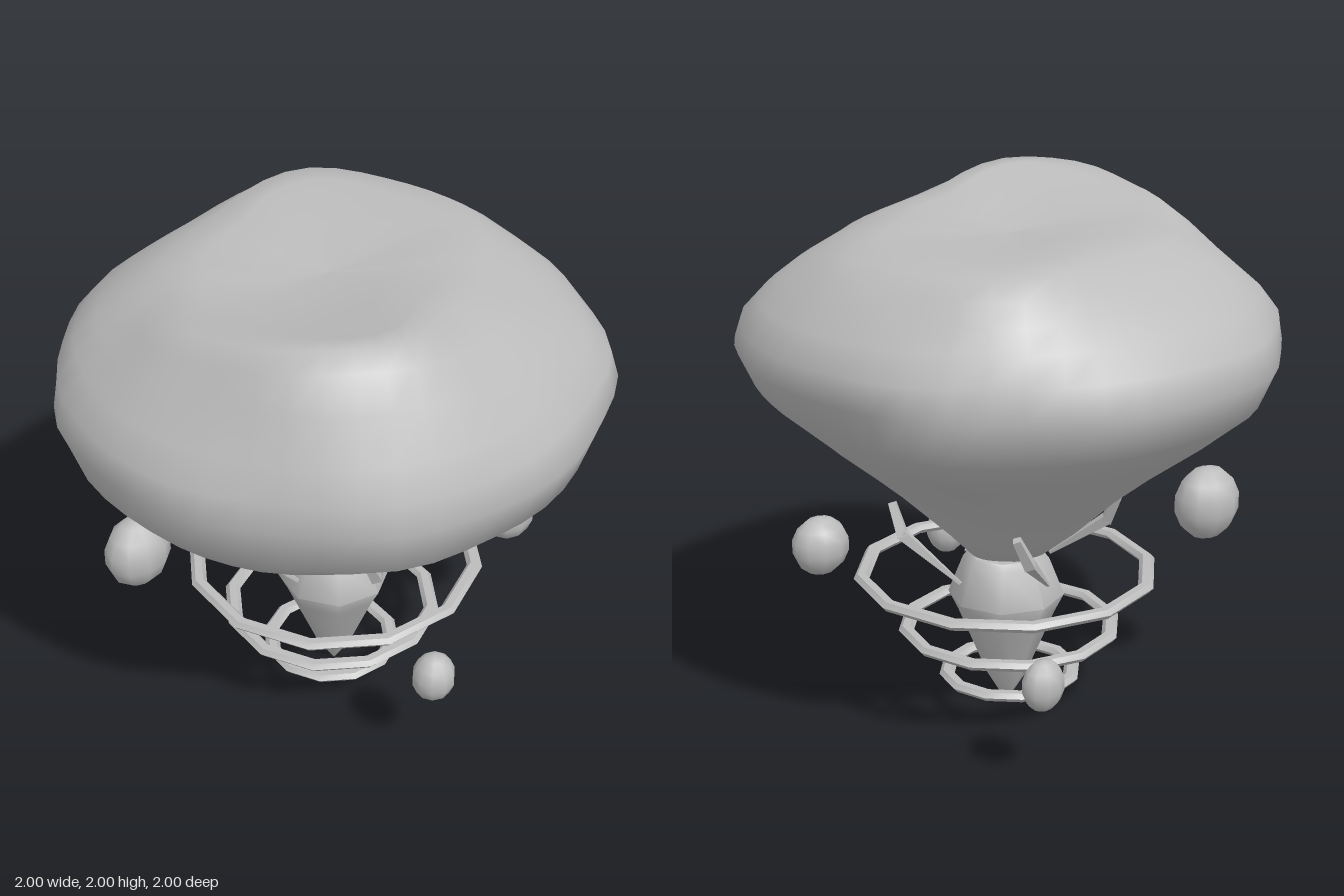
import * as THREE from 'three';
import { toCreasedNormals } from 'three/addons/utils/BufferGeometryUtils.js';

const stone = new THREE.MeshStandardMaterial({ color: 0xbcbcbc });
stone.name = 'grey stone';

// Common axis of the spike, rings and claws
const AXIS_X = 0.05, AXIS_Z = -0.02;

function add(parent, name, geometry, x = 0, y = 0, z = 0) {
  const mesh = new THREE.Mesh(geometry, stone);
  mesh.name = name;
  mesh.position.set(x, y, z);
  parent.add(mesh);
  return mesh;
}

// Floating island lofted from rings: height, then the radius in eight
// directions, starting at +x and turning towards +z
function islandGeometry() {
  const rings = [
    [0.61, 0, 0, 0, 0, 0, 0, 0, 0],
    [0.62, 0.17, 0.15, 0.15, 0.14, 0.13, 0.13, 0.13, 0.15],
    [0.72, 0.26, 0.26, 0.25, 0.26, 0.28, 0.26, 0.25, 0.26],
    [0.9, 0.45, 0.45, 0.45, 0.46, 0.47, 0.45, 0.45, 0.46],
    [1.02, 0.59, 0.58, 0.58, 0.6, 0.61, 0.6, 0.6, 0.62],
    [1.13, 0.72, 0.74, 0.75, 0.78, 0.82, 0.77, 0.73, 0.77],
    [1.28, 0.88, 0.95, 0.95, 0.95, 0.95, 0.93, 0.92, 0.98],
    [1.44, 0.99, 1.02, 1, 0.98, 1, 1, 1, 1.02],
    [1.55, 1, 0.99, 0.96, 0.97, 0.98, 0.98, 0.95, 0.99],
    [1.65, 0.93, 0.91, 0.89, 0.93, 0.91, 0.91, 0.87, 0.94],
    [1.75, 0.86, 0.82, 0.79, 0.86, 0.81, 0.82, 0.78, 0.88],
    [1.83, 0.79, 0.7, 0.68, 0.8, 0.74, 0.71, 0.69, 0.83],
    [1.89, 0.7, 0.55, 0.53, 0.74, 0.67, 0.58, 0.57, 0.76],
    [1.905, 0.55, 0.4, 0.4, 0.65, 0.53, 0.44, 0.43, 0.63],
    [1.87, 0.27, 0.22, 0.22, 0.35, 0.27, 0.22, 0.22, 0.32],
    [1.85, 0, 0, 0, 0, 0, 0, 0, 0],
  ];
  const S = 48, pos = [], index = [];
  rings.forEach(([y, ...radii], i) => {
    const tilt = THREE.MathUtils.smoothstep(y, 1.6, 1.89);
    for (let j = 0; j < S; j++) {
      const t = (j / S) * Math.PI * 2, k = Math.floor((j * 8) / S);
      const blend = THREE.MathUtils.smoothstep((j * 8) / S - k, 0, 1);
      const bump = 1 + Math.abs(Math.sin(2 * t)) *
        (0.012 * Math.sin(5 * t + i * 0.5) + 0.01 * Math.sin(9 * t - i * 0.9));
      const r = THREE.MathUtils.lerp(radii[k], radii[(k + 1) % 8], blend) * bump;
      const x = Math.cos(t) * r, z = Math.sin(t) * r;
      // The top climbs towards one corner, sinks at the opposite one
      // and rolls off to both sides of that diagonal
      const q = z - x, p = z + x;
      pos.push(x, y + tilt * ((q > 0 ? 0.1 * q * q : 0.03 * q) - 0.04 * p * p), z);
    }
  });
  for (let i = 0; i < rings.length - 1; i++) {
    for (let j = 0; j < S; j++) {
      const a = i * S + j, b = i * S + ((j + 1) % S);
      index.push(a, a + S, b, b, a + S, b + S);
    }
  }
  const g = new THREE.BufferGeometry();
  g.setAttribute('position', new THREE.Float32BufferAttribute(pos, 3));
  g.setIndex(index);
  g.computeVertexNormals();
  return g;
}

// Four-sided tapered bar between two points
function addBar(parent, name, from, to, r0, r1) {
  const a = new THREE.Vector3(...from), b = new THREE.Vector3(...to);
  const dir = b.clone().sub(a);
  const bar = add(parent, name, toCreasedNormals(new THREE.CylinderGeometry(r1, r0, dir.length(), 4), 0.6));
  bar.position.copy(a).add(b).multiplyScalar(0.5);
  bar.quaternion.setFromUnitVectors(new THREE.Vector3(0, 1, 0), dir.normalize());
}

export function createModel() {
  const model = new THREE.Group();
  model.name = 'floatingIsland';

  add(model, 'island', islandGeometry());

  // Eight-sided hanging spike
  const profile = [[0, 0], [0.075, 0.12], [0.185, 0.385], [0.222, 0.46], [0.165, 0.605], [0.145, 0.63], [0, 0.63]]
    .map(([r, y]) => new THREE.Vector2(r, y));
  add(model, 'spike', toCreasedNormals(new THREE.LatheGeometry(profile, 8), 0.8), AXIS_X, 0, AXIS_Z);

  // Three floating rings, wider than they are thick
  for (const [radius, x, y] of [[0.552, 0.05, 0.557], [0.4, 0.033, 0.328], [0.246, 0.032, 0.131]]) {
    const ring = new THREE.TorusGeometry(radius, 0.03, 6, 12).rotateX(Math.PI / 2).scale(1, 0.68, 1);
    add(model, 'ring', toCreasedNormals(ring, 0.6), x, y, AXIS_Z);
  }

  // Four bent claws, swirling round the axis
  for (let i = 0; i < 4; i++) {
    const claw = new THREE.Group();
    claw.name = 'claw';
    claw.position.set(AXIS_X, 0, AXIS_Z);
    claw.rotation.y = (i * Math.PI) / 2;
    addBar(claw, 'clawStem', [0.23, 0.56, -0.01], [0.35, 0.73, 0.185], 0.008, 0.028);
    addBar(claw, 'clawTip', [0.35, 0.72, 0.18], [0.35, 0.84, 0.245], 0.028, 0.02);
    model.add(claw);
  }

  // Small floating boulders: position, then half sizes
  const boulders = [
    [-0.62, 0.78, -0.42, 0.14, 0.145, 0.11],
    [0.59, 0.655, 0.43, 0.117, 0.115, 0.095],
    [-0.19, 0.46, 0.65, 0.086, 0.1, 0.08],
    [0.385, 0.395, -0.62, 0.085, 0.097, 0.065],
  ];
  for (const [x, y, z, rx, ry, rz] of boulders) {
    add(model, 'boulder', new THREE.SphereGeometry(1, 10, 7).scale(rx, ry, rz), x, y, z);
  }
  return model;
}
